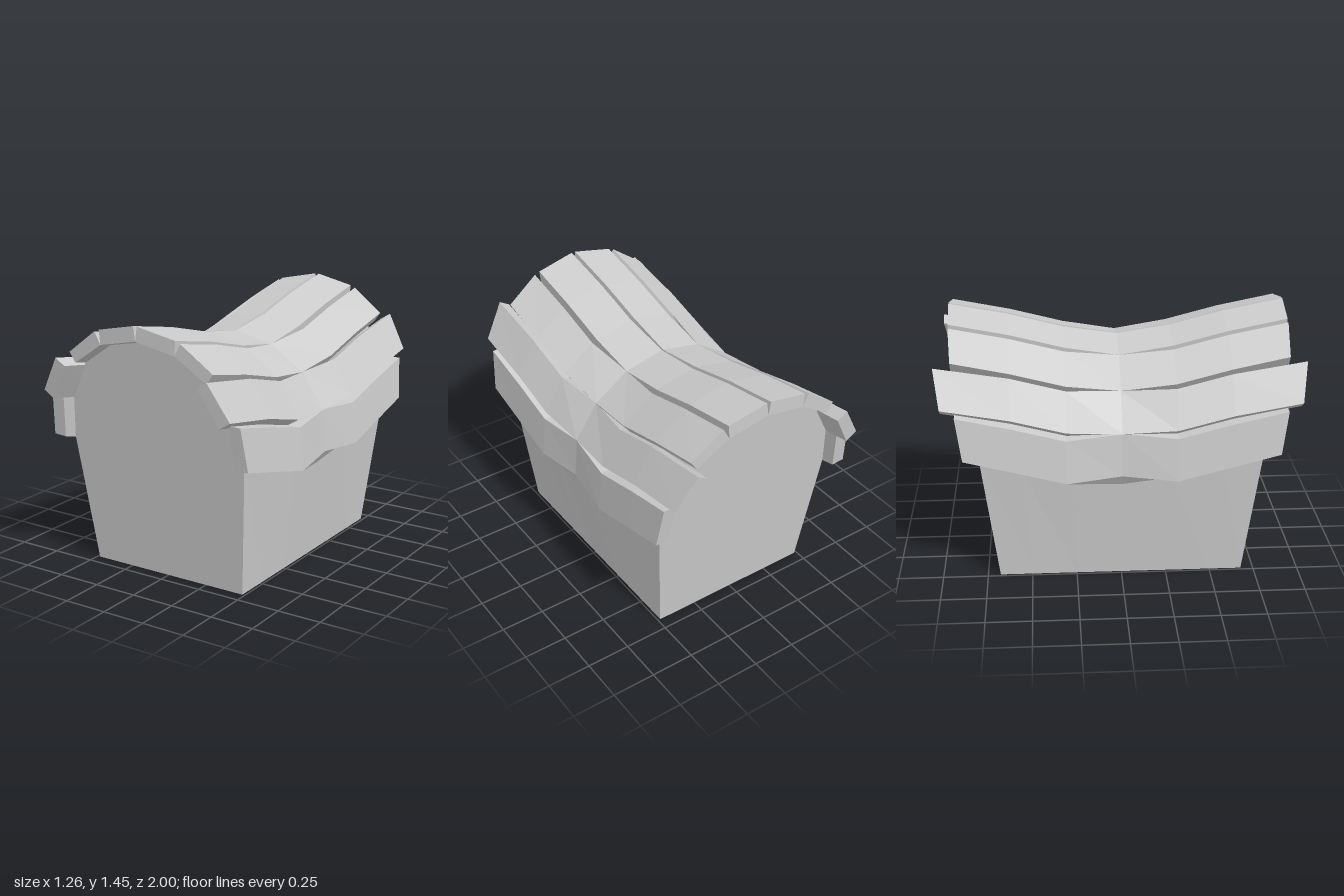
import * as THREE from 'three';

// Arch corner points from ridge to eave: at the gable ends, and at the sagging middle
const ARCH = [[0, 1.37], [0.235, 1.322], [0.42, 1.2], [0.53, 1.0], [0.555, 0.755]];
const MID_IN = [[0, 1.205], [0.235, 1.16], [0.42, 1.04], [0.53, 0.865], [0.553, 0.575]];
const MID_OUT = [[0.004, 1.26], [0.24, 1.21], [0.442, 1.075], [0.577, 0.878], [0.595, 0.64]];

// Outer corners of each plank at its ends, and how far its upper and lower edges reach in z
const PLANKS = [
  { name: 'ridgePlank', outer: [[0.012, 1.45], [0.243, 1.402]], reach: [0.935, 0.925] },
  { name: 'upperPlank', outer: [[0.273, 1.39], [0.458, 1.255]], reach: [0.925, 0.91] },
  { name: 'lowerPlank', outer: [[0.48, 1.237], [0.595, 1.04]], reach: [1.0, 0.967] },
  { name: 'eavePlank', outer: [[0.606, 0.998], [0.63, 0.76]], reach: [0.89, 0.855] },
];

// Flat-faced solid through rings of [x, y, z], counter-clockwise seen from +z, ordered back to front
function loft(rings) {
  const pos = [];
  const tri = (a, b, c) => pos.push(...a, ...b, ...c);
  const n = rings[0].length;
  for (let r = 0; r < rings.length - 1; r++) {
    const back = rings[r], front = rings[r + 1];
    for (let i = 0; i < n; i++) {
      const j = (i + 1) % n;
      tri(back[i], back[j], front[j]);
      tri(back[i], front[j], front[i]);
    }
  }
  const first = rings[0], last = rings[rings.length - 1];
  for (let i = 1; i < n - 1; i++) {
    tri(last[0], last[i], last[i + 1]);
    tri(first[0], first[i + 1], first[i]);
  }
  const geo = new THREE.BufferGeometry();
  geo.setAttribute('position', new THREE.Float32BufferAttribute(pos, 3));
  geo.computeVertexNormals();
  return geo;
}

// Front half sections [middle ... end] mirrored to the back
function mirrorZ(half) {
  const back = half.slice(1).reverse().map(ring => ring.map(([x, y, z]) => [x, y, -z]));
  return [...back, ...half];
}

function plankGeometry(plank, i, side) {
  const [upper, lower] = plank.outer;
  const end = [ARCH[i], upper, lower, ARCH[i + 1]];
  const mid = [MID_IN[i], MID_OUT[i], MID_OUT[i + 1], MID_IN[i + 1]];
  const reach = [plank.reach[0], plank.reach[0], plank.reach[1], plank.reach[1]];
  const half = [
    mid.map(([x, y]) => [x, y, 0]),
    end.map(([x, y]) => [x, y - 0.143, 0.3]),
    end.map(([x, y]) => [x, y - 0.065, 0.6]),
    end.map(([x, y], k) => [x, y, reach[k]]),
  ].map(ring => {
    const r = ring.map(([x, y, z]) => [x * side, y, z]);
    return side > 0 ? r.reverse() : r;
  });
  return loft(mirrorZ(half));
}

// Chest body: tapered box with an arched, sagging top
function bodyGeometry() {
  const section = (arch, drop, f) => {
    const right = [[0.485, 0], ...arch.map(([x, y]) => [x, y - drop]).reverse()];
    const left = right.slice(0, -1).reverse().map(([x, y]) => [-x, y]);
    return [...right, ...left].map(([x, y]) => [x, y, f * (0.68 + 0.125 * y)]);
  };
  return loft(mirrorZ([
    section(MID_IN, 0, 0),
    section(ARCH, 0.143, 0.36),
    section(ARCH, 0.067, 0.72),
    section(ARCH, 0.015, 1),
  ]));
}

export function createModel() {
  const model = new THREE.Group();
  model.name = 'archedChest';
  const grey = new THREE.MeshStandardMaterial({ color: 0xcccccc });
  grey.name = 'lightGrey';

  const add = (name, geometry) => {
    const mesh = new THREE.Mesh(geometry, grey);
    mesh.name = name;
    model.add(mesh);
  };

  add('body', bodyGeometry());

  // Four planks down each side of the arch
  PLANKS.forEach((plank, i) => {
    add(plank.name + 'Left', plankGeometry(plank, i, 1));
    add(plank.name + 'Right', plankGeometry(plank, i, -1));
  });
  return model;
}
